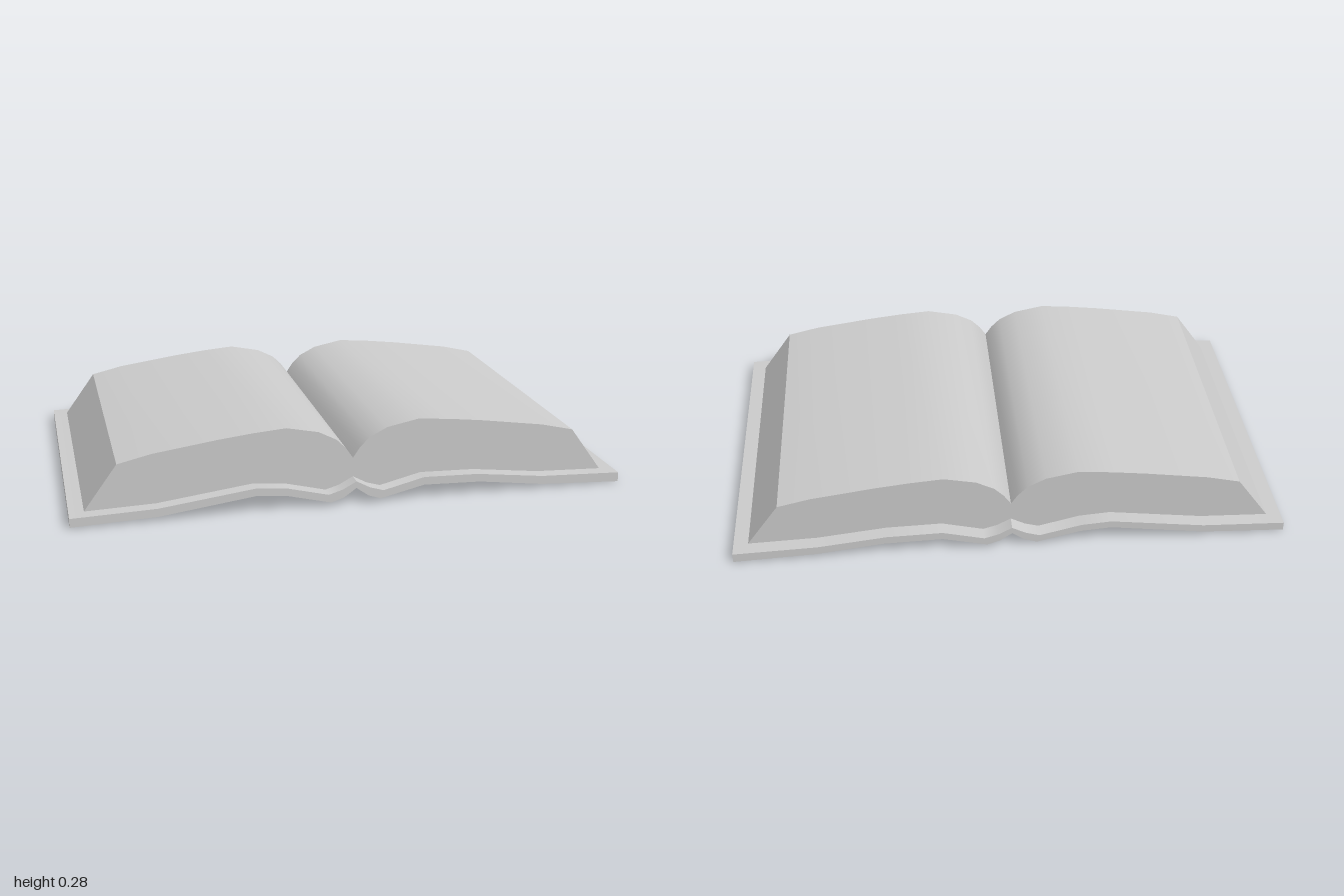
import * as THREE from 'three';
import { toCreasedNormals } from 'three/addons/utils/BufferGeometryUtils.js';

const material = new THREE.MeshStandardMaterial({ color: 0xcccccc });

// Profiles across the open book, as [x, y] from the left edge to the right edge
const coverTop = [
  [-1, 0.035], [-0.7, 0.045], [-0.36, 0.089], [-0.25, 0.08], [-0.1, 0.043], [-0.05, 0.058], [0, 0.085],
  [0.05, 0.058], [0.1, 0.043], [0.25, 0.08], [0.45, 0.075], [0.7, 0.046], [1, 0.035],
];
const coverBottom = [
  [-1, 0.003], [-0.7, 0.015], [-0.36, 0.061], [-0.25, 0.052], [-0.09, 0.013], [-0.045, 0.028], [0, 0.06],
  [0.045, 0.028], [0.09, 0.013], [0.25, 0.051], [0.46, 0.045], [0.7, 0.015], [1, 0],
];

// One half of the page surface, from the gutter out to the slanted fore edge
const pageHalf = [
  [0, 0.155], [0.025, 0.192], [0.06, 0.227], [0.125, 0.26], [0.24, 0.283],
  [0.36, 0.273], [0.48, 0.259], [0.71, 0.226], [0.83, 0.198], [0.947, 0.037],
];

// Closed section between an upper and a lower profile, extruded along z
function slab(name, upper, lower, depth) {
  const outline = [...lower, ...[...upper].reverse()].map(([x, y]) => new THREE.Vector2(x, y));
  const extruded = new THREE.ExtrudeGeometry(new THREE.Shape(outline), { depth, bevelEnabled: false });
  extruded.translate(0, 0, -depth / 2);
  const mesh = new THREE.Mesh(toCreasedNormals(extruded, THREE.MathUtils.degToRad(36)), material);
  mesh.name = name;
  return mesh;
}

export function createModel() {
  const book = new THREE.Group();
  book.name = 'openBook';

  // Cover boards and spine in one bent sheet
  book.add(slab('cover', coverTop, coverBottom, 1.245));

  // Page block: mirrored top, resting on the cover
  const mirrored = pageHalf.slice(1).reverse().map(([x, y]) => [-x, y]);
  book.add(slab('pages', [...mirrored, ...pageHalf], coverTop.slice(1, -1), 1.14));

  return book;
}
